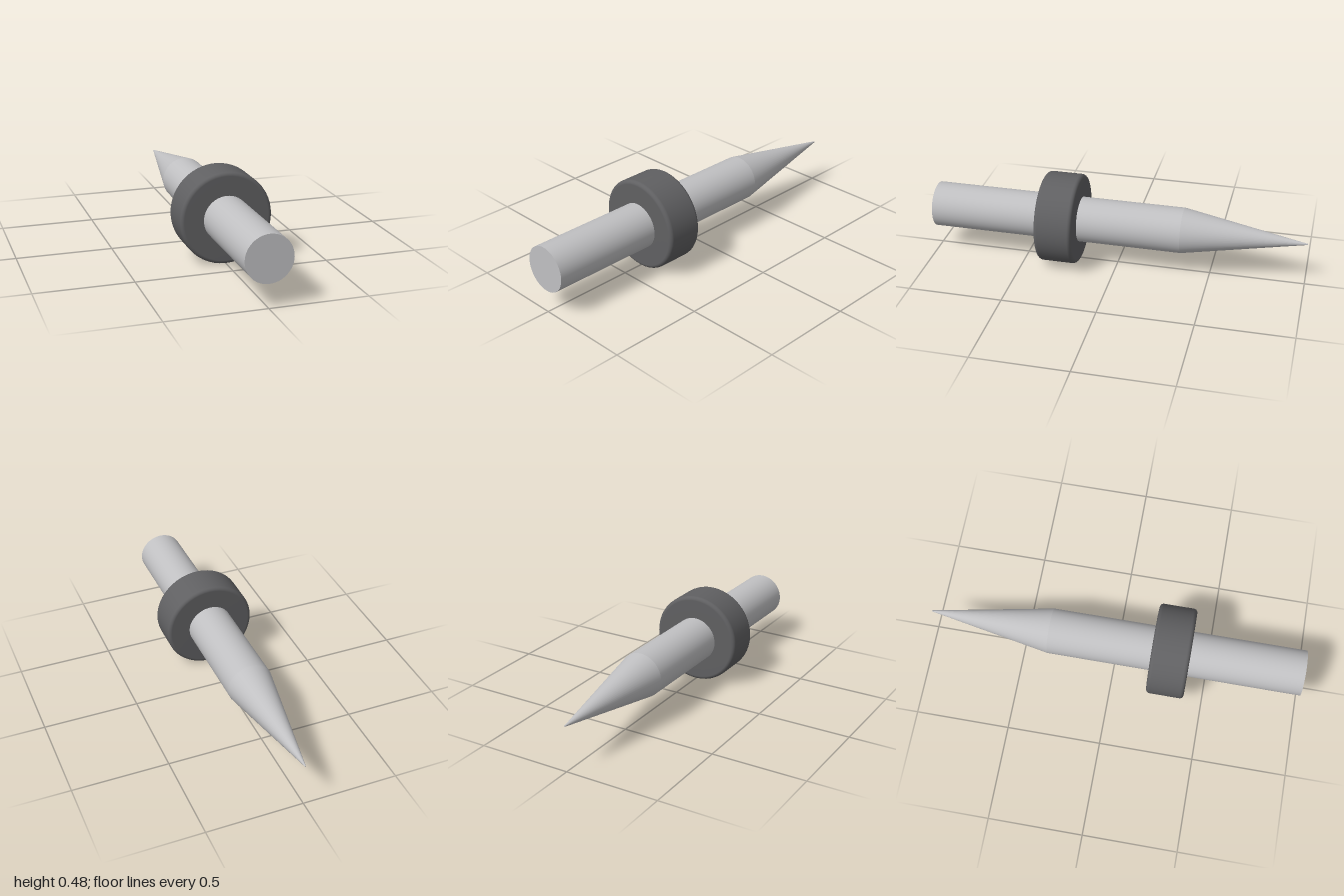
import * as THREE from 'three';

const SIDES = 48;
const AXIS_Y = 0.24;      // height of the shared axis
const SHAFT_R = 0.12;
const COLLAR_R = 0.24;
const CONE_BASE_Z = -0.35;

export function createModel() {
  const group = new THREE.Group();
  group.name = 'pointedShaft';

  const steel = new THREE.MeshStandardMaterial({ color: 0xc0c0c2 });
  steel.name = 'light grey metal';
  const dark = new THREE.MeshStandardMaterial({ color: 0x606062 });
  dark.name = 'dark grey collar';

  // Lays a y-axis geometry along z, with its top towards the front (1) or back (-1)
  const addAlongZ = (name, geometry, material, z, facing = 1) => {
    geometry.rotateX(facing * Math.PI / 2);
    const mesh = new THREE.Mesh(geometry, material);
    mesh.name = name;
    mesh.position.set(0, AXIS_Y, z);
    group.add(mesh);
  };

  // Straight shaft with a flat front end
  const shaftLength = 1 - CONE_BASE_Z;
  addAlongZ('shaft', new THREE.CylinderGeometry(SHAFT_R, SHAFT_R, shaftLength, SIDES),
    steel, CONE_BASE_Z + shaftLength / 2);

  // Long conical point at the back
  const coneLength = 1 + CONE_BASE_Z;
  addAlongZ('point', new THREE.CylinderGeometry(0.003, SHAFT_R, coneLength, SIDES),
    steel, CONE_BASE_Z - coneLength / 2, -1);

  // Collar ring with rounded rims
  const half = 0.1, round = 0.02, steps = 5;
  const profile = [new THREE.Vector2(SHAFT_R - 0.01, -half)];
  for (const [side, start] of [[-1, -Math.PI / 2], [1, 0]]) {
    for (let i = 0; i <= steps; i++) {
      const a = start + (i / steps) * Math.PI / 2;
      profile.push(new THREE.Vector2(
        COLLAR_R - round + round * Math.cos(a),
        side * (half - round) + round * Math.sin(a)));
    }
  }
  profile.push(new THREE.Vector2(SHAFT_R - 0.01, half));
  addAlongZ('collar', new THREE.LatheGeometry(profile, SIDES), dark, 0.3);

  return group;
}
